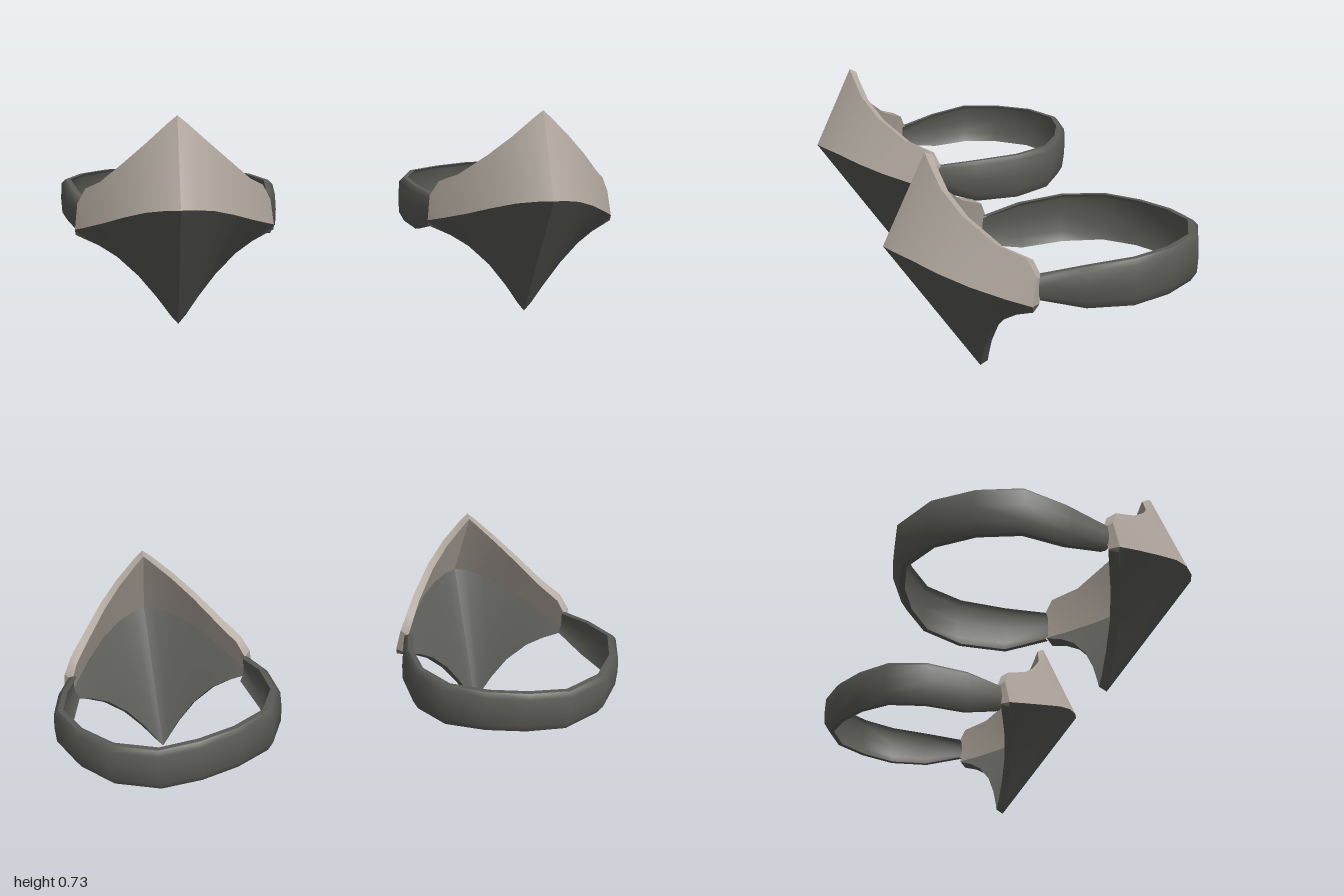
import * as THREE from 'three';
import { mergeGeometries } from 'three/addons/utils/BufferGeometryUtils.js';

// Smooth sheet through rows of points (top row first, columns to the right as seen from its front)
function sheet(rows, flip = false) {
  const n = rows[0].length, index = [];
  for (let r = 0; r < rows.length - 1; r++) {
    for (let c = 0; c < n - 1; c++) {
      const a = r * n + c, b = a + 1, d = a + n, e = d + 1;
      if (flip) index.push(a, b, d, b, e, d);
      else index.push(a, d, b, b, d, e);
    }
  }
  const g = new THREE.BufferGeometry();
  g.setAttribute('position', new THREE.Float32BufferAttribute(rows.flat(2), 3));
  g.setIndex(index);
  g.computeVertexNormals();
  return g;
}

const mirrorX = rows => rows.map(row => row.map(([x, y, z]) => [-x, y, z]));

// Guard outline for one half, from the centre ridge out to the side tip
const topEdge = [[0, .725, .37], [.03, .7, .365], [.1, .635, .345], [.17, .57, .3],
  [.25, .495, .215], [.3, .463, .137], [.328, .41, .115]];
const seam = [[0, .435, .505], [.045, .433, .487], [.11, .422, .443], [.18, .398, .38],
  [.245, .368, .295], [.3, .342, .205], [.338, .323, .13]];
const bottomEdge = [[0, 0, .195], [.025, .03, .198], [.07, .095, .2], [.13, .17, .195],
  [.2, .235, .177], [.26, .272, .155], [.336, .305, .127]];

// Inner surface: the outline moved back and towards the middle
const inset = (edge, dy, dz) => edge.map(([x, y, z], i) => [x - .022 * i / (edge.length - 1), y + dy, z - dz]);
const topInner = inset(topEdge, -.012, .025);
const seamInner = inset(seam, 0, .028);
const bottomInner = inset(bottomEdge, .014, .025);

// One panel of the guard: outside, inside, rim and side end, on both halves
function panel(upper, lower, upperIn, lowerIn, rim) {
  const last = upper.length - 1;
  const parts = [
    [[upper, lower], false],
    [[upperIn, lowerIn], true],
    [rim, false],
    [[[upper[last], upperIn[last]], [lower[last], lowerIn[last]]], false],
  ];
  return mergeGeometries(parts.flatMap(([rows, flip]) => [sheet(rows, flip), sheet(mirrorX(rows), !flip)]));
}

// Strap path: x, z, bottom height, top height
const strapPath = [[.315, .115, .328, .408], [.363, -.03, .303, .437], [.39, -.18, .307, .457],
  [.338, -.32, .31, .46], [.24, -.44, .308, .46], [.09, -.505, .305, .457], [-.055, -.485, .3, .455],
  [-.193, -.43, .294, .45], [-.316, -.34, .284, .445], [-.375, -.197, .272, .437],
  [-.364, -.03, .266, .423], [-.315, .115, .302, .402]];

function strapGeometry(side) {
  // Band cross-section: inset from the path and height fraction
  const row = (depth, t) => strapPath.map(([x, z, low, high]) => {
    const dx = x, dz = z + .16, k = depth / Math.hypot(dx, dz);
    return [x - dx * k, low + (high - low) * t, z - dz * k];
  });
  const profile = [[.018, 1], [.003, .9], [0, .55], [.003, .2], [.022, 0]];
  const outer = profile.map(([d, t]) => row(d, t));
  const inner = profile.map(([d, t]) => row(d + .018, t));
  const parts = [
    [outer, false],
    [inner, true],
    [[inner[0], outer[0]], false],
    [[outer[4], inner[4]], false],
  ];
  return mergeGeometries(parts.map(([rows, flip]) =>
    side > 0 ? sheet(rows, flip) : sheet(mirrorX(rows), !flip)));
}

export function createModel() {
  const pale = new THREE.MeshStandardMaterial({ color: 0xb0a79d });
  pale.name = 'pale stone';
  const dark = new THREE.MeshStandardMaterial({ color: 0x5a5a56 });
  dark.name = 'dark grey';

  const upperPanel = panel(topEdge, seam, topInner, seamInner, [topInner, topEdge]);
  const lowerPanel = panel(seam, bottomEdge, seamInner, bottomInner, [bottomEdge, bottomInner]);

  const model = new THREE.Group();
  model.name = 'kneeGuards';
  for (const side of [1, -1]) {
    const guard = new THREE.Group();
    guard.name = side > 0 ? 'leftGuard' : 'rightGuard';
    const add = (name, geometry, material) => {
      const mesh = new THREE.Mesh(geometry, material);
      mesh.name = name;
      guard.add(mesh);
    };
    add('upperPanel', upperPanel, pale);
    add('lowerPanel', lowerPanel, dark);
    add('strap', strapGeometry(side), dark);
    guard.position.x = side * .61;
    model.add(guard);
  }
  return model;
}
